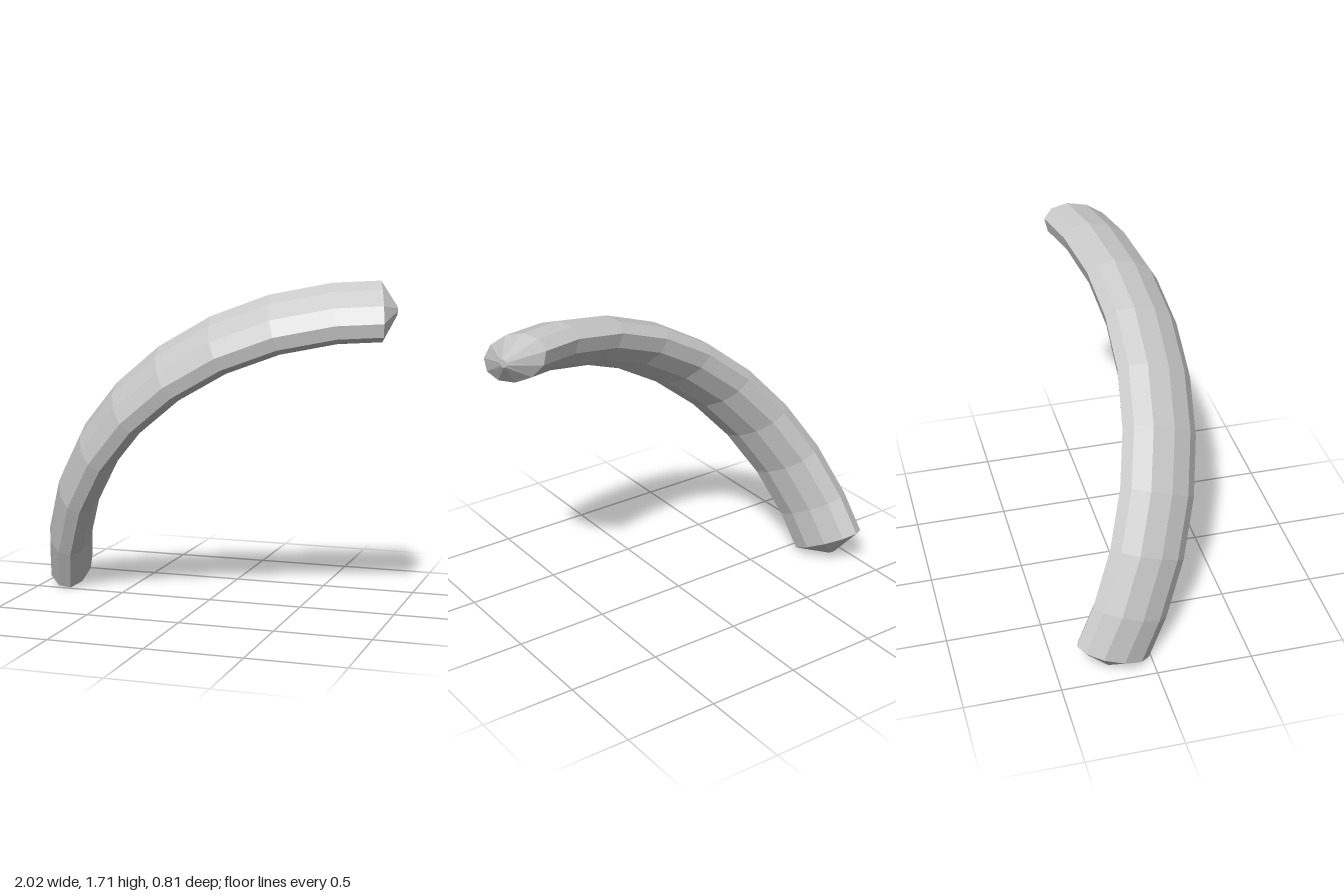
import * as THREE from 'three';

const SIDES = 11;
const HALF_WIDTH = 0.23, HALF_THICK = 0.118; // oval cross-section
const HALF_ANGLE = 0.8;                      // half of the arc, in radians
const TIP_HEIGHT = 0.08, TIP_RADIUS = 0.022; // shallow cone at each end

export function createModel() {
  // Arc frame: chord direction, bulge direction and the constant binormal
  const start = new THREE.Vector3(-0.887, 0.105, -0.205);
  const end = new THREE.Vector3(0.922, 1.567, 0.058);
  const chord = end.clone().sub(start);
  const radius = chord.length() / (2 * Math.sin(HALF_ANGLE));
  chord.normalize();
  const bulge = new THREE.Vector3(-0.585, 0.627, 0.515);
  bulge.addScaledVector(chord, -bulge.dot(chord)).normalize();
  const across = chord.clone().cross(bulge);
  const centre = start.clone().add(end).multiplyScalar(0.5)
    .addScaledVector(bulge, -radius * Math.cos(HALF_ANGLE));

  const positions = [], index = [];

  // One oval ring at an angle along the arc, pushed along the tangent by `push`
  function addRing(angle, halfWidth, halfThick, push = 0) {
    const out = bulge.clone().multiplyScalar(Math.cos(angle)).addScaledVector(chord, Math.sin(angle));
    const tangent = chord.clone().multiplyScalar(Math.cos(angle)).addScaledVector(bulge, -Math.sin(angle));
    const middle = centre.clone().addScaledVector(out, radius).addScaledVector(tangent, push);
    for (let j = 0; j < SIDES; j++) {
      const a = Math.PI / 2 + (j / SIDES) * Math.PI * 2;
      const p = middle.clone()
        .addScaledVector(across, halfWidth * Math.cos(a))
        .addScaledVector(out, halfThick * Math.sin(a));
      positions.push(p.x, p.y, p.z);
    }
  }

  // Rings: tip, body with slightly shorter end sections, tip
  const steps = [0, 0.75, 1.75, 2.75, 3.75, 4.75, 5.75, 6.75, 7.75, 8.5];
  addRing(-HALF_ANGLE, TIP_RADIUS, TIP_RADIUS, -TIP_HEIGHT);
  for (const s of steps) addRing((s / 8.5 * 2 - 1) * HALF_ANGLE, HALF_WIDTH, HALF_THICK);
  addRing(HALF_ANGLE, TIP_RADIUS, TIP_RADIUS, TIP_HEIGHT);

  // Skin between neighbouring rings
  const rings = steps.length + 2;
  for (let i = 0; i < rings - 1; i++) {
    for (let j = 0; j < SIDES; j++) {
      const k = (j + 1) % SIDES;
      const a = i * SIDES + j, b = i * SIDES + k;
      const c = a + SIDES, d = b + SIDES;
      index.push(a, c, b, b, c, d);
    }
  }

  // Small flat discs closing the tips
  const last = (rings - 1) * SIDES;
  for (let j = 1; j < SIDES - 1; j++) {
    index.push(0, j, j + 1);
    index.push(last, last + j + 1, last + j);
  }

  let geometry = new THREE.BufferGeometry();
  geometry.setAttribute('position', new THREE.Float32BufferAttribute(positions, 3));
  geometry.setIndex(index);
  geometry = geometry.toNonIndexed();
  geometry.computeVertexNormals();

  const bar = new THREE.Mesh(geometry,
    new THREE.MeshStandardMaterial({ color: 0xcccccc, flatShading: true }));
  bar.name = 'curvedBar';

  const model = new THREE.Group();
  model.name = 'curvedOvalBar';
  model.add(bar);
  return model;
}
